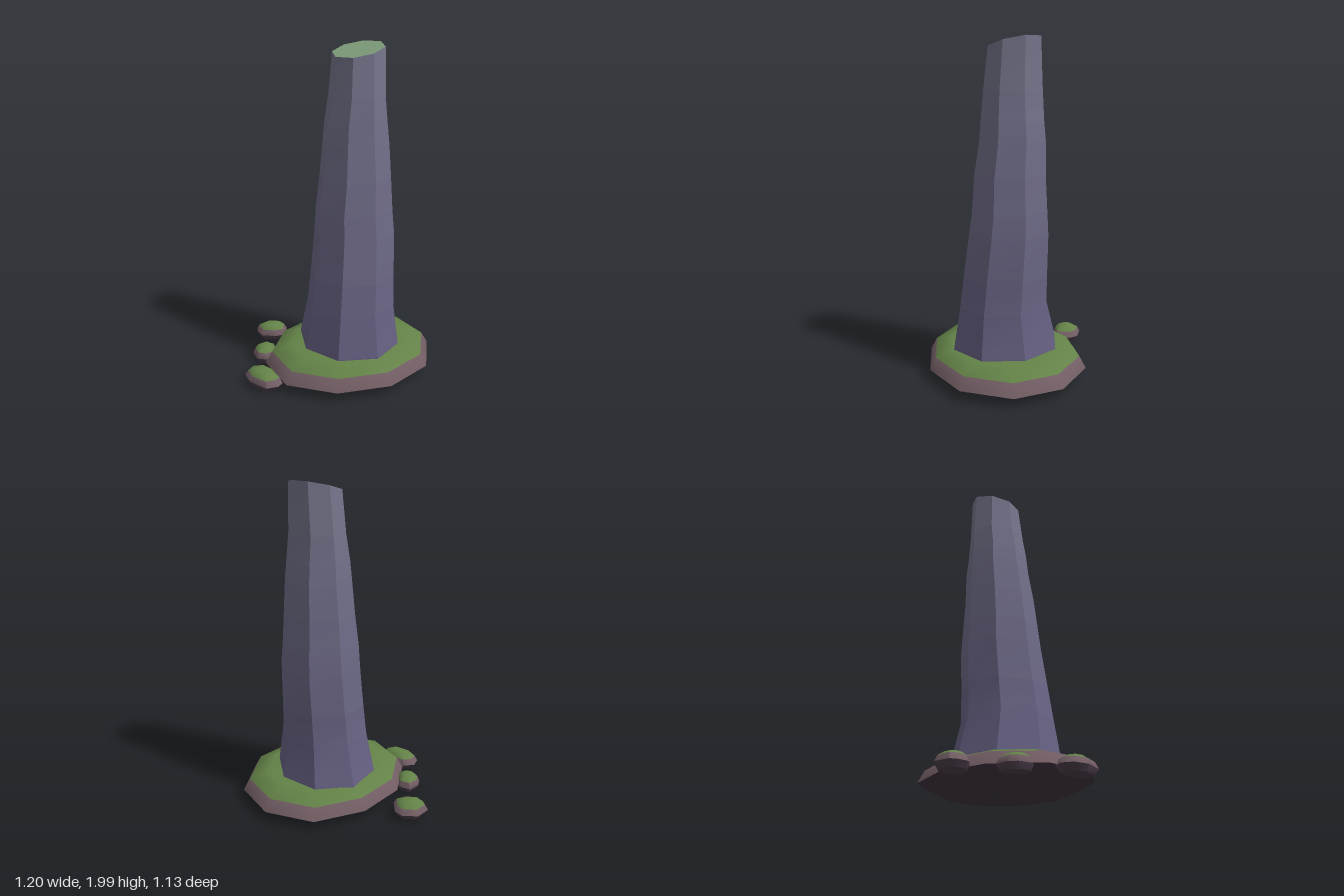
import * as THREE from 'three';
import { toCreasedNormals } from 'three/addons/utils/BufferGeometryUtils.js';

const mat = (color) => new THREE.MeshStandardMaterial({ color, roughness: 1 });

// Closed skin through rings of [x, y, z], one material per band:
// bottom cap, each side band in turn, top cap.
function loft(name, rings, materials, crease) {
  const n = rings[0].length;
  const points = rings.flat();
  const index = [];
  const geometry = new THREE.BufferGeometry();
  const centre = (ring) => [0, 1, 2].map((k) => ring.reduce((s, p) => s + p[k], 0) / n);
  const low = points.push(centre(rings[0])) - 1;
  const high = points.push(centre(rings[rings.length - 1])) - 1;
  const last = (rings.length - 1) * n;
  for (let b = 0; b <= rings.length; b++) {
    const start = index.length;
    for (let i = 0; i < n; i++) {
      const j = (i + 1) % n;
      if (b === 0) index.push(low, i, j);
      else if (b === rings.length) index.push(high, last + j, last + i);
      else {
        const a = (b - 1) * n, c = b * n;
        index.push(a + i, c + i, a + j, a + j, c + i, c + j);
      }
    }
    geometry.addGroup(start, index.length - start, b);
  }
  geometry.setAttribute('position', new THREE.Float32BufferAttribute(points.flat(), 3));
  geometry.setIndex(index);
  const mesh = new THREE.Mesh(toCreasedNormals(geometry, crease), materials);
  mesh.name = name;
  return mesh;
}

// Outline of [x, z] scaled about a centre, at height y
const scaled = (outline, cx, cz, s, y) =>
  outline.map(([x, z]) => [cx + (x - cx) * s, y, cz + (z - cz) * s]);

// Leaning eight-sided stone pillar with a slanted top
function pillar() {
  // y, left, right, back, front
  const levels = [
    [0.1, -0.235, 0.405, -0.265, 0.425], [0.18, -0.225, 0.39, -0.25, 0.41],
    [0.43, -0.185, 0.355, -0.185, 0.37], [0.62, -0.16, 0.36, -0.18, 0.35],
    [0.88, -0.13, 0.37, -0.175, 0.32], [1.02, -0.12, 0.362, -0.165, 0.3],
    [1.22, -0.09, 0.345, -0.155, 0.288], [1.42, -0.065, 0.34, -0.148, 0.258],
    [1.54, -0.052, 0.325, -0.138, 0.248], [1.7, -0.02, 0.306, -0.13, 0.235],
    [1.96, 0, 0.308, -0.11, 0.21],
  ];
  const rings = levels.map(([y, l, r, b, f], k) =>
    Array.from({ length: 8 }, (_, i) => {
      const a = (i * Math.PI) / 4;
      const x = (l + r) / 2 + (Math.cos(a) * (r - l)) / 2;
      const z = (b + f) / 2 + (Math.sin(a) * (f - b)) / 2;
      const slant = k === levels.length - 1 ? 0.25 * (x - 0.155) - 0.1 * (z - 0.05) : 0;
      return [x, y + slant, z];
    }));
  // stone fades from violet at the foot to grey at the top
  const foot = new THREE.Color(0x625a80), head = new THREE.Color(0x74748a);
  const bands = levels.slice(1).map((v) => mat(foot.clone().lerp(head, v[0] / 2)));
  return loft('pillar', rings, [mat(0x625a80), ...bands, mat(0x7c9a78)], 0.5);
}

// Wide mossy mound under the pillar
function mound() {
  const outline = [
    [0.08, -0.375], [0.4, -0.31], [0.595, -0.065], [0.6, 0.235], [0.4, 0.48],
    [0.08, 0.56], [-0.235, 0.465], [-0.445, 0.235], [-0.435, -0.065], [-0.225, -0.29],
  ];
  const rings = [[0.76, 0.005], [1, 0.065], [0.92, 0.137], [0.7, 0.172], [0.5, 0.172]]
    .map(([s, y]) => scaled(outline, 0.08, 0.09, s, y));
  const under = mat(0x40343f), moss = mat(0x648348);
  return loft('mossyBase', rings, [under, under, mat(0x705c62), moss, moss, moss], 0.9);
}

// Small moss-topped stone
function pebble(name, outline) {
  const n = outline.length;
  const cx = outline.reduce((s, p) => s + p[0], 0) / n;
  const cz = outline.reduce((s, p) => s + p[1], 0) / n;
  const rings = [[0.78, 0.01], [1, 0.045], [0.82, 0.08], [0.45, 0.1]]
    .map(([s, y]) => scaled(outline, cx, cz, s, y));
  const under = mat(0x4a3c49), moss = mat(0x648348);
  return loft(name, rings, [under, under, mat(0x705c62), moss, moss], 0.9);
}

export function createModel() {
  const group = new THREE.Group();
  group.name = 'standingStone';
  group.add(
    pillar(),
    mound(),
    pebble('backPebble', [
      [-0.27, -0.545], [-0.175, -0.568], [-0.097, -0.51], [-0.087, -0.45],
      [-0.14, -0.367], [-0.21, -0.38], [-0.28, -0.435], [-0.285, -0.5],
    ]),
    pebble('middlePebble', [
      [-0.395, -0.29], [-0.315, -0.3], [-0.28, -0.235], [-0.305, -0.175],
      [-0.35, -0.13], [-0.4, -0.125], [-0.445, -0.17], [-0.435, -0.25],
    ]),
    pebble('sidePebble', [
      [-0.59, -0.03], [-0.533, -0.067], [-0.463, -0.04], [-0.435, 0.04],
      [-0.438, 0.175], [-0.48, 0.197], [-0.55, 0.18], [-0.6, 0.06],
    ]),
  );
  return group;
}
